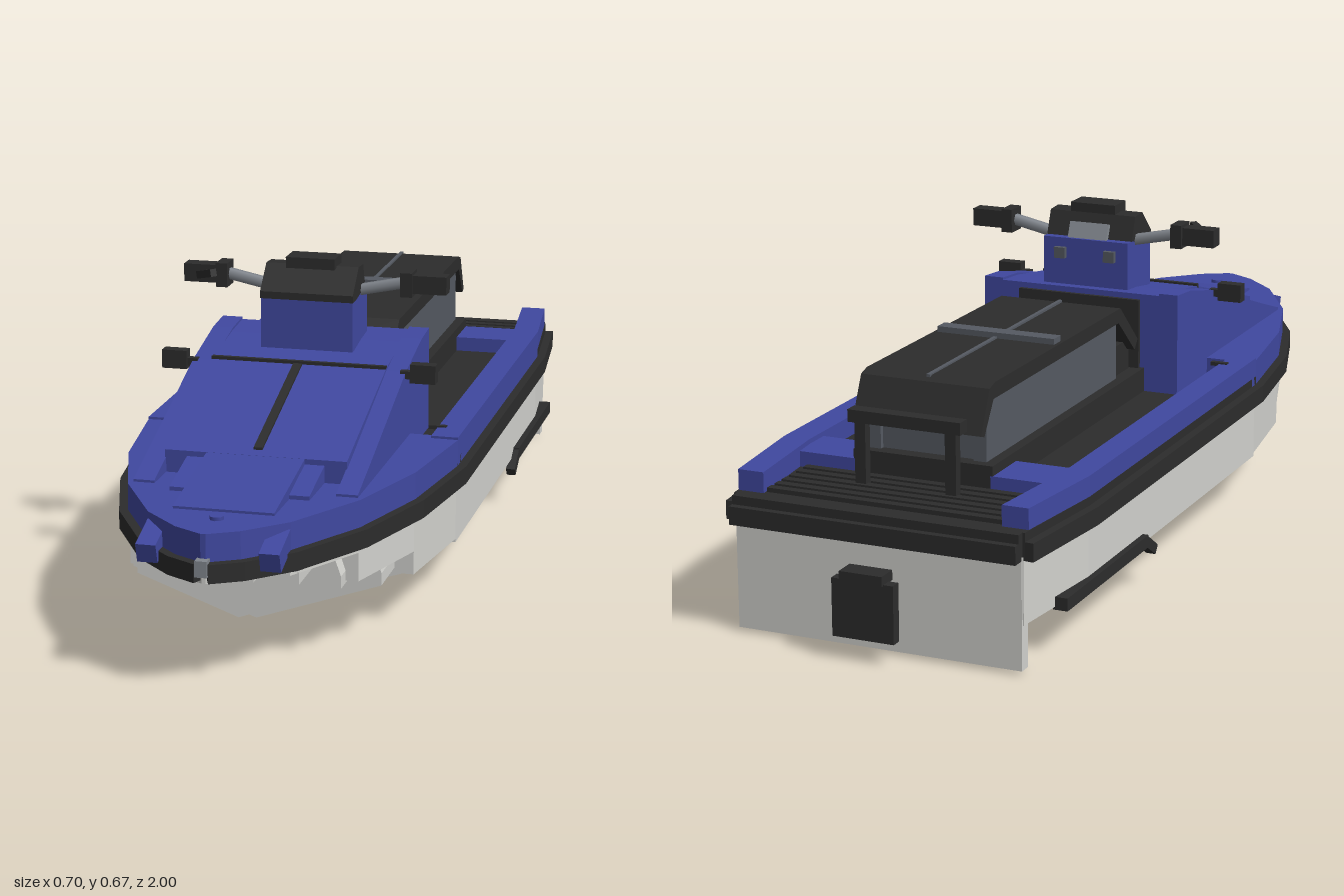
import * as THREE from 'three';

const mat = (name, color, side = THREE.FrontSide) => {
  const m = new THREE.MeshStandardMaterial({ color, side });
  m.name = name;
  return m;
};

export function createModel() {
  const root = new THREE.Group();
  const blue = mat('blue paint', 0x4048a0);
  const black = mat('black rubber', 0x2c2c2c);
  const white = mat('white hull', 0xd2d2ce);
  const grey = mat('grey metal', 0x82878e);
  const slate = mat('slate panel', 0x555a62);

  const add = (name, geo, m) => {
    const mesh = new THREE.Mesh(geo, m);
    mesh.name = name;
    root.add(mesh);
    return mesh;
  };
  // box from its limits
  const box = (name, m, x0, x1, y0, y1, z0, z1) => {
    const b = add(name, new THREE.BoxGeometry(x1 - x0, y1 - y0, z1 - z0), m);
    b.position.set((x0 + x1) / 2, (y0 + y1) / 2, (z0 + z1) / 2);
    return b;
  };
  const shapeOf = pts => new THREE.Shape(pts.map(p => new THREE.Vector2(p[0], p[1])));
  const extrude = (pts, depth) =>
    new THREE.ExtrudeGeometry(shapeOf(pts), { depth, bevelEnabled: false });
  // plan outline of [x, z] raised from y0 to y1
  const slab = (name, m, pts, y0, y1) => {
    const g = extrude(pts.map(([x, z]) => [x, -z]), y1 - y0);
    return add(name, g.rotateX(-Math.PI / 2).translate(0, y0, 0), m);
  };
  // side profile of [z, y] spanning x0 to x1
  const profile = (name, m, pts, x0, x1) => {
    const g = extrude(pts.map(([z, y]) => [-z, y]), x1 - x0);
    return add(name, g.rotateY(Math.PI / 2).translate(x0, 0, 0), m);
  };
  // cross-section of [x, y] spanning z0 to z1
  const section = (name, m, pts, z0, z1) =>
    add(name, extrude(pts, z1 - z0).translate(0, 0, z0), m);
  const flip = (pts, s) => pts.map(([x, z]) => [s * x, z]);
  const both = pts => [...pts, ...flip(pts, -1).reverse()];

  // half outline of the boat, stern to bow
  const outline = [[0.325, -0.93], [0.35, -0.68], [0.35, 0.25], [0.315, 0.5],
    [0.25, 0.71], [0.155, 0.88], [0.075, 0.96], [0.014, 0.995]];
  const inset = d => outline.map(([x, z], i) => {
    const a = outline[Math.max(i - 1, 0)], b = outline[Math.min(i + 1, outline.length - 1)];
    const dx = b[0] - a[0], dz = b[1] - a[1], l = Math.hypot(dx, dz);
    return [Math.max(x - d * dz / l, 0.004), z + d * dx / l];
  });
  const hull = inset(0.021), edge = inset(0.018), inner = inset(0.075);

  // upper hull, stepping up towards the bow
  [[0, 1, 0.1], [1, 2, 0.1], [2, 3, 0.107], [3, 4, 0.155], [4, 5, 0.213], [5, 7, 0.222]]
    .forEach(([a, b, y]) => slab('hullSide', white, both(hull.slice(a, b + 1)), y, 0.24));

  // stepped V bottom: z0, z1, half width, keel height, chine height
  [[-0.91, 0.25, 0.3, 0.002, 0.1], [0.25, 0.44, 0.28, 0.002, 0.095],
    [0.44, 0.61, 0.255, 0.03, 0.118], [0.61, 0.74, 0.205, 0.075, 0.15],
    [0.74, 0.85, 0.15, 0.135, 0.19], [0.85, 0.935, 0.085, 0.19, 0.218]]
    .forEach(([z0, z1, w, keel, chine]) => section('hullBottom', white,
      [[0, keel], [w, chine], [w, chine + 0.025], [w * 0.9, 0.235],
        [-w * 0.9, 0.235], [-w, chine + 0.025], [-w, chine]], z0, z1));
  box('transom', white, -0.302, 0.302, 0.01, 0.235, -0.932, -0.905);

  // jet nozzle at the stern
  box('nozzleMount', grey, -0.045, 0.045, 0.06, 0.15, -0.972, -0.93);
  box('nozzle', black, -0.065, 0.065, 0.048, 0.165, -0.993, -0.97);
  box('nozzleTop', black, -0.045, 0.045, 0.163, 0.183, -1, -0.955);

  // floor, bow deck and rubber stern bar
  slab('floor', black, both(edge.slice(0, 3)), 0.235, 0.283);
  slab('bowDeck', blue, both([[edge[2][0], 0.225], ...edge.slice(2)]), 0.262, 0.32);
  box('sternBumper', black, -0.302, 0.302, 0.228, 0.265, -0.96, -0.91);
  box('sternLip', black, -0.302, 0.302, 0.262, 0.283, -0.945, -0.905);
  for (let i = 0; i < 6; i++)
    box('deckSlat', black, -0.25, 0.25, 0.28, 0.292, -0.9 + i * 0.029, -0.882 + i * 0.029);
  box('bowEye', grey, -0.012, 0.012, 0.24, 0.272, 0.965, 0.997);
  const stud = add('bowStud', new THREE.CylinderGeometry(0.014, 0.014, 0.008, 8), blue);
  stud.position.set(0, 0.323, 0.885);

  for (const s of [1, -1]) {
    const side = (name, m, x0, x1, ...r) =>
      box(name, m, Math.min(s * x0, s * x1), Math.max(s * x0, s * x1), ...r);
    // rubber rail in short lengths, and the raised gunwale
    const rim = inset(0.03);
    for (let i = 0; i < outline.length - 1; i++)
      slab('bumperRail', black,
        flip([outline[i], outline[i + 1], rim[i + 1], rim[i]], s), 0.228, 0.265);
    slab('gunwale', blue, flip([[0.307, -0.91], edge[1], edge[2], inner[2], inner[1],
      [0.252, -0.91]], s), 0.262, 0.325);
    side('sternStep', blue, 0.145, 0.28, 0.27, 0.315, -0.73, -0.62);
    side('cleat', black, 0.255, 0.293, 0.32, 0.328, 0.17, 0.182);

    // side rail on the lower hull
    side('sideRail', black, 0.312, 0.342, 0.094, 0.12, -0.81, -0.4);
    profile('sideRailTip', black, [[-0.405, 0.12], [-0.405, 0.094], [-0.362, 0.067],
      [-0.35, 0.084]], s > 0 ? 0.322 : -0.342, s > 0 ? 0.342 : -0.322);

    // angled fairlead at the bow
    const lead = side('bowFairlead', blue, 0.1, 0.14, 0.255, 0.295, 0.865, 0.95);
    lead.rotation.set(0.3, 0, 0);

    // raised edge of the hood
    profile('hoodEdge', blue, [[0.045, 0.28], [0.045, 0.502], [0.12, 0.496], [0.27, 0.463],
      [0.58, 0.36], [0.69, 0.325], [0.69, 0.3]],
    s > 0 ? 0.183 : -0.226, s > 0 ? 0.226 : -0.183);

    // mirror
    side('mirrorArm', black, 0.215, 0.24, 0.45, 0.466, 0.262, 0.278);
    side('mirror', black, 0.237, 0.29, 0.443, 0.482, 0.257, 0.283);

    // handlebar with grip
    const path = new THREE.LineCurve3(new THREE.Vector3(s * 0.09, 0.595, 0.125),
      new THREE.Vector3(s * 0.19, 0.616, 0.125));
    add('handlebar', new THREE.TubeGeometry(path, 1, 0.013, 6), grey);
    side('gripCollar', black, 0.186, 0.211, 0.59, 0.641, 0.1, 0.15);
    side('grip', black, 0.21, 0.282, 0.597, 0.635, 0.107, 0.143);

    // seat side panel and rear handle post
    side('seatPanel', slate, 0.1, 0.128, 0.33, 0.465, -0.71, -0.06);
    side('rearHandlePost', black, 0.085, 0.108, 0.285, 0.42, -0.805, -0.785);
    side('dashButton', slate, 0.045, 0.07, 0.553, 0.577, 0.064, 0.08);
  }

  // throttle lever on the right grip
  const lever = box('throttleLever', black, -0.255, -0.2, 0.612, 0.628, 0.155, 0.17);
  lever.rotation.set(0, -0.7, 0.25);

  // hood and nose
  profile('hood', blue, [[0.045, 0.28], [0.045, 0.497], [0.13, 0.49], [0.27, 0.468],
    [0.61, 0.366], [0.61, 0.3]], -0.185, 0.185);
  profile('noseStep', blue, [[0.58, 0.3], [0.58, 0.362], [0.73, 0.328], [0.73, 0.3]], -0.14, 0.14);
  profile('nose', blue, [[0.58, 0.3], [0.58, 0.371], [0.84, 0.325], [0.84, 0.3]], -0.1, 0.1);
  box('hoodSeam', black, -0.185, 0.185, 0.462, 0.473, 0.265, 0.275);
  profile('hoodStripe', black, [[0.28, 0.45], [0.28, 0.47], [0.59, 0.377], [0.59, 0.36]],
    -0.009, 0.009);

  // steering console
  box('console', blue, -0.098, 0.098, 0.48, 0.597, 0.075, 0.205);
  profile('consoleCap', black, [[0.095, 0.597], [0.115, 0.648], [0.155, 0.65], [0.207, 0.6],
    [0.207, 0.585], [0.18, 0.585]], -0.099, 0.099);
  box('consoleTopPlate', black, -0.052, 0.052, 0.645, 0.668, 0.115, 0.175);
  const display = box('display', grey, -0.045, 0.045, 0.59, 0.63, 0.088, 0.098);
  display.rotation.x = 0.4;
  box('consoleBack', black, -0.14, 0.14, 0.28, 0.485, 0.036, 0.046);

  // seat
  box('seatBase', black, -0.15, 0.15, 0.27, 0.335, -0.73, 0.045);
  box('seatCore', slate, -0.105, 0.105, 0.33, 0.465, -0.7, -0.06);
  profile('seatCushion', black, [[-0.06, 0.49], [-0.69, 0.492], [-0.715, 0.485], [-0.755, 0.4],
    [-0.74, 0.395], [-0.697, 0.46], [-0.07, 0.46], [0.02, 0.38], [0.037, 0.4]], -0.138, 0.138);
  box('seatFront', black, -0.12, 0.12, 0.33, 0.4, -0.06, 0.03);
  box('seatSeam', slate, -0.004, 0.004, 0.487, 0.495, -0.7, -0.06);
  box('seatStrap', slate, -0.13, 0.13, 0.485, 0.503, -0.39, -0.357);
  box('rearHandle', black, -0.12, 0.12, 0.415, 0.44, -0.81, -0.78);

  return root;
}
